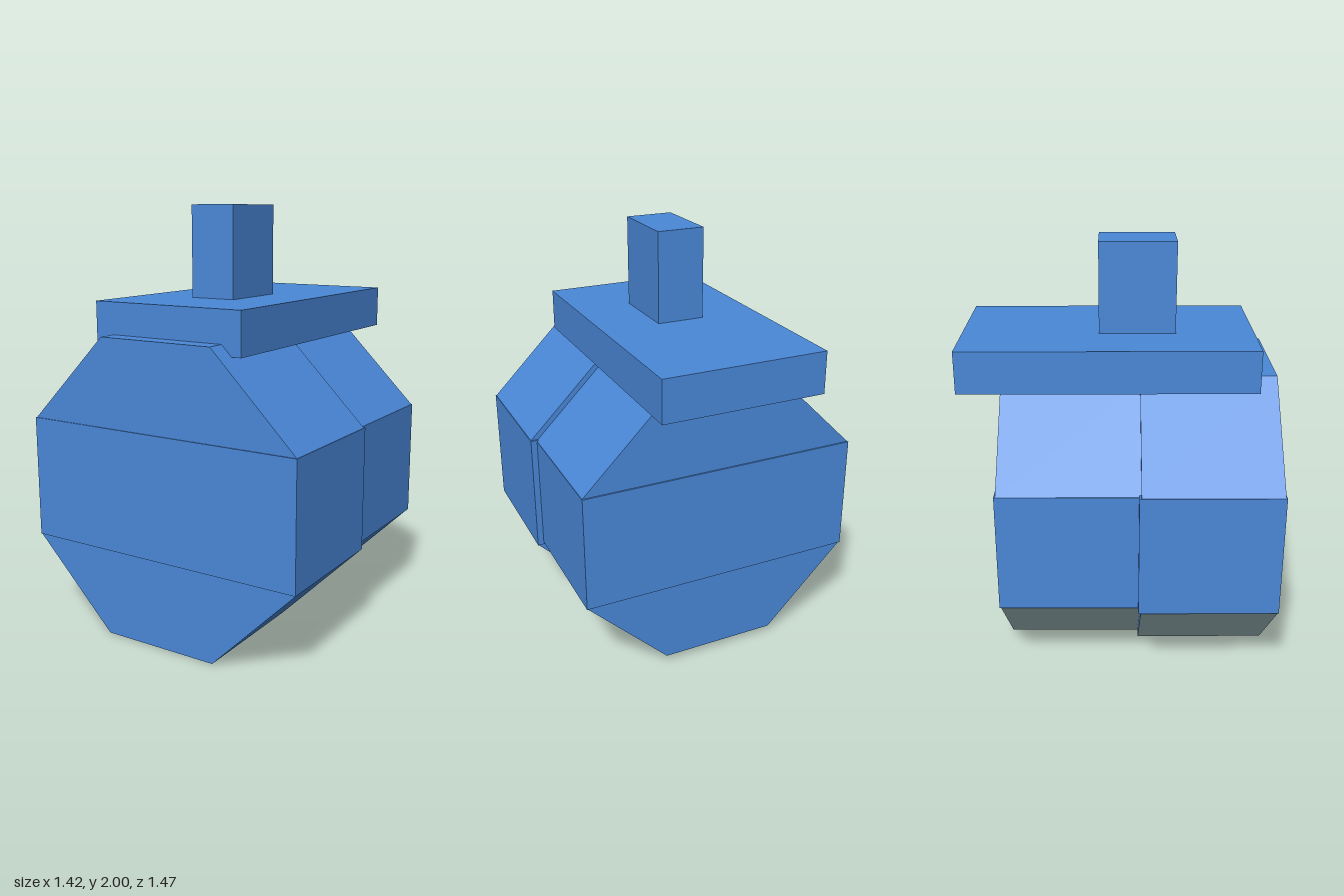
import * as THREE from 'three';

export function createModel() {
  const model = new THREE.Group();
  const blue = new THREE.MeshStandardMaterial({ color: 0x4a88d8 });
  blue.name = 'blue';
  const paleGrey = new THREE.MeshStandardMaterial({ color: 0xa8c6ca });
  paleGrey.name = 'paleGrey';

  const add = (name, geometry, material) => {
    const mesh = new THREE.Mesh(geometry, material);
    mesh.name = name;
    model.add(mesh);
    return mesh;
  };

  // Box given by its limits on each axis
  const box = (name, x, y0, y1, z0, z1) =>
    add(name, new THREE.BoxGeometry(2 * x, y1 - y0, z1 - z0), blue)
      .position.set(0, (y0 + y1) / 2, (z0 + z1) / 2);

  // Octagonal prism; its underside and lower right slope are pale grey
  const octagon = (name, half, flat, cy, z0, z1) => {
    const outline = [
      [flat, -half], [half, -flat], [half, flat], [flat, half],
      [-flat, half], [-half, flat], [-half, -flat], [-flat, -half],
    ].map(([x, y]) => new THREE.Vector2(x, y + cy));
    const geometry = new THREE.ExtrudeGeometry(new THREE.Shape(outline), {
      depth: z1 - z0, bevelEnabled: false,
    });
    geometry.translate(0, 0, z0);
    geometry.clearGroups();
    const n = geometry.attributes.normal;
    for (let i = 0; i < n.count; i += 3) {
      const isGrey = n.getY(i) < -0.5 && n.getX(i) < 0.3;
      geometry.addGroup(i, 3, isGrey ? 1 : 0);
    }
    add(name, geometry, [blue, paleGrey]);
  };

  // Front and slightly smaller rear body
  octagon('frontBody', 0.71, 0.293, 0.711, 0.1, 0.728);
  octagon('rearBody', 0.68, 0.283, 0.715, -0.54, 0.1);

  // Wide middle bands, a hair longer than the bodies
  box('frontBand', 0.712, 0.42, 1.005, 0.09, 0.733);
  box('rearBand', 0.682, 0.432, 0.998, -0.547, 0.09);

  // Top plate and upright post
  box('topPlate', 0.39, 1.37, 1.57, -0.733, 0.64);
  box('post', 0.114, 1.57, 2, -0.09, 0.27);

  return model;
}
